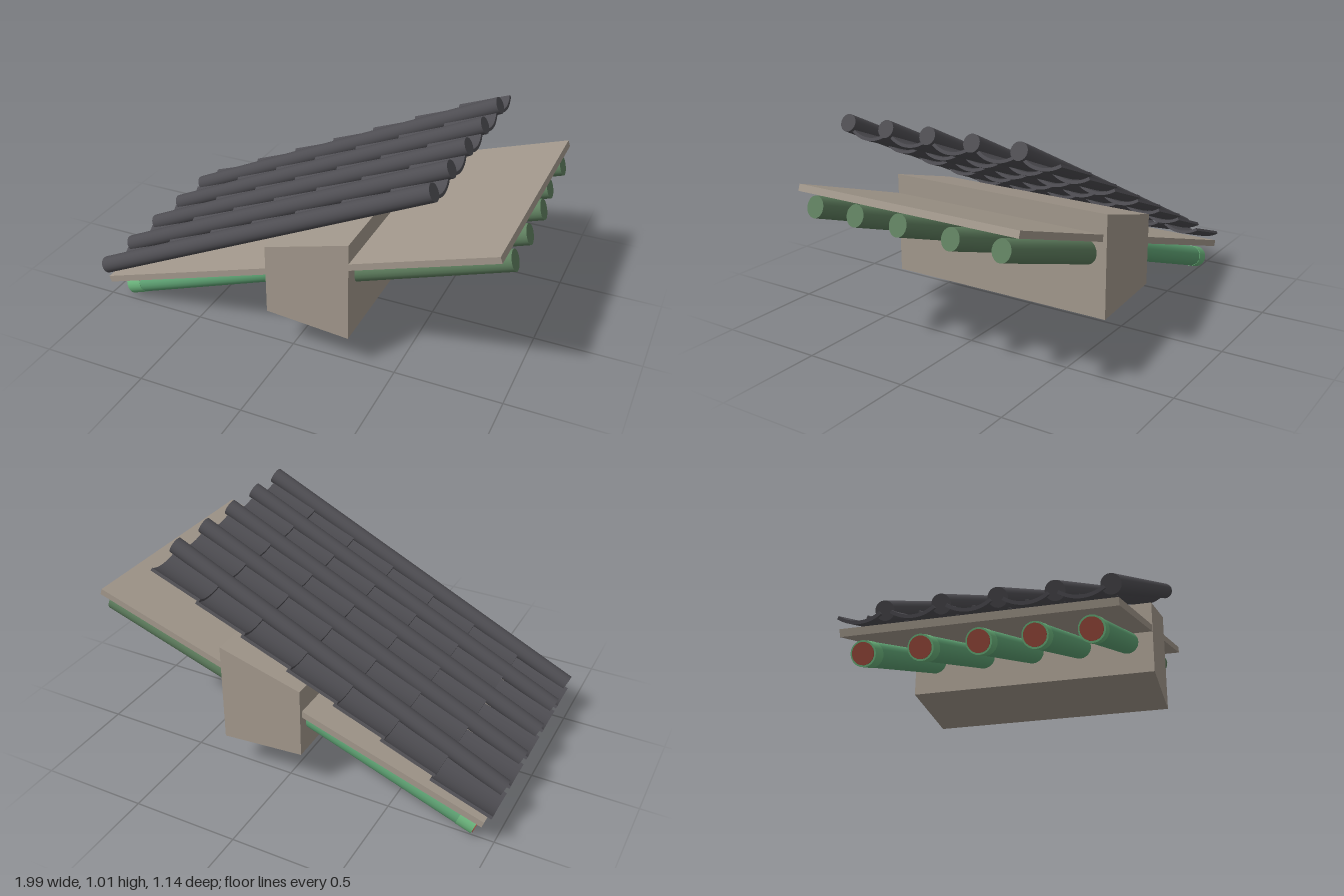
import * as THREE from 'three';

const mat = (name, color, side = THREE.FrontSide) => {
  const m = new THREE.MeshStandardMaterial({ color, side });
  m.name = name;
  return m;
};

export function createModel() {
  const model = new THREE.Group();
  model.name = 'tiledEaves';
  const charcoal = mat('charcoal tile', 0x4e4d52);
  const taupe = mat('taupe wood', 0xa2988c);
  const dullGreen = mat('dull green paint', 0x5f7f5f);
  const green = mat('bright green paint', 0x5fa374);
  const paleGreen = mat('pale green paint', 0x6cb57d);
  const red = mat('red paint', 0x9a4a3c);

  const add = (name, geometry, material, parent = model) => {
    const mesh = new THREE.Mesh(geometry, material);
    mesh.name = name;
    parent.add(mesh);
    return mesh;
  };

  // Round pole between two points of the xy plane, squeezed a little in z if asked
  const pole = (name, a, b, ra, rb, z, material, squeeze = 1) => {
    const dx = b[0] - a[0], dy = b[1] - a[1];
    const g = new THREE.CylinderGeometry(rb, ra, Math.hypot(dx, dy), 20);
    g.scale(1, 1, squeeze);
    g.rotateZ(Math.atan2(dy, dx) - Math.PI / 2);
    g.translate((a[0] + b[0]) / 2, (a[1] + b[1]) / 2, z);
    return add(name, g, material);
  };

  // Side profile extruded from z0 to z1
  const slab = (name, points, z0, z1, material) => {
    const shape = new THREE.Shape(points.map(p => new THREE.Vector2(...p)));
    const g = new THREE.ExtrudeGeometry(shape, { depth: z1 - z0, bevelEnabled: false });
    g.translate(0, 0, z0);
    return add(name, g, material);
  };

  // Cross beam and sloping board
  slab('crossBeam', [[-0.1, 0.2], [0.3, 0.168], [0.3, 0.652], [-0.1, 0.54]], -0.573, 0.557, taupe);
  slab('roofBoard', [[-0.955, 0.115], [0.955, 0.74], [0.945, 0.769], [-0.965, 0.145]], -0.555, 0.555, taupe);

  // Rafters: dull inside half, bright outside half with a painted end
  [0.44, 0.222, 0, -0.235, -0.473].forEach((z, i) => {
    const end = i < 3 ? [0.978, 0.695] : [0.948, 0.674];
    pole('innerRafter', [0.25, 0.45], end, 0.057, 0.048, z, dullGreen, 0.92);
    const low = [-0.907, 0.056], slope = 0.365;
    const at = x => [x, low[1] + (x - low[0]) * slope];
    pole('outerRafter', low, at(-0.05), 0.052, 0.05, z, green);
    pole('rafterEndBand', at(-0.908), at(-0.835), 0.0535, 0.0535, z, paleGreen);
    pole('rafterEndDisc', at(-0.912), at(-0.906), 0.046, 0.046, z, red);
  });

  // Cover rolls running up the slope
  const rollY = x => 0.185 + (x + 1) * 0.479;
  for (const z of [0.531, 0.319, 0.096, -0.13, -0.36]) {
    pole('coverRoll', [-0.983, rollY(-0.983)], [0.652, rollY(0.652)], 0.04, 0.04, z, charcoal);
  }

  // Curved pan tiles, each row overlapping the one below
  const R = 0.16, half = 0.61, thick = 0.014;
  const arc = new THREE.Shape();
  arc.absarc(0, R, R, -Math.PI / 2 - half, -Math.PI / 2 + half, false);
  arc.absarc(0, R, R - thick, -Math.PI / 2 + half, -Math.PI / 2 - half, true);
  const starts = [-0.985, -0.72, -0.485, -0.26, -0.035, 0.19, 0.415];
  for (const z of [0.42, 0.207, -0.018, -0.243, -0.463]) {
    starts.forEach((x0, row) => {
      const x1 = row < 6 ? starts[row + 1] + 0.02 : 0.66;
      const y0 = rollY(x0) - 0.045;
      const y1 = rollY(x1) - (row === 0 ? 0.08 : 0.068);
      const g = new THREE.ExtrudeGeometry(arc, {
        depth: Math.hypot(x1 - x0, y1 - y0), bevelEnabled: false, curveSegments: 8,
      });
      g.rotateY(Math.PI / 2);
      g.rotateZ(Math.atan2(y1 - y0, x1 - x0));
      g.translate(x0, y0, z);
      add('panTile', g, charcoal);
    });
  }
  return model;
}
